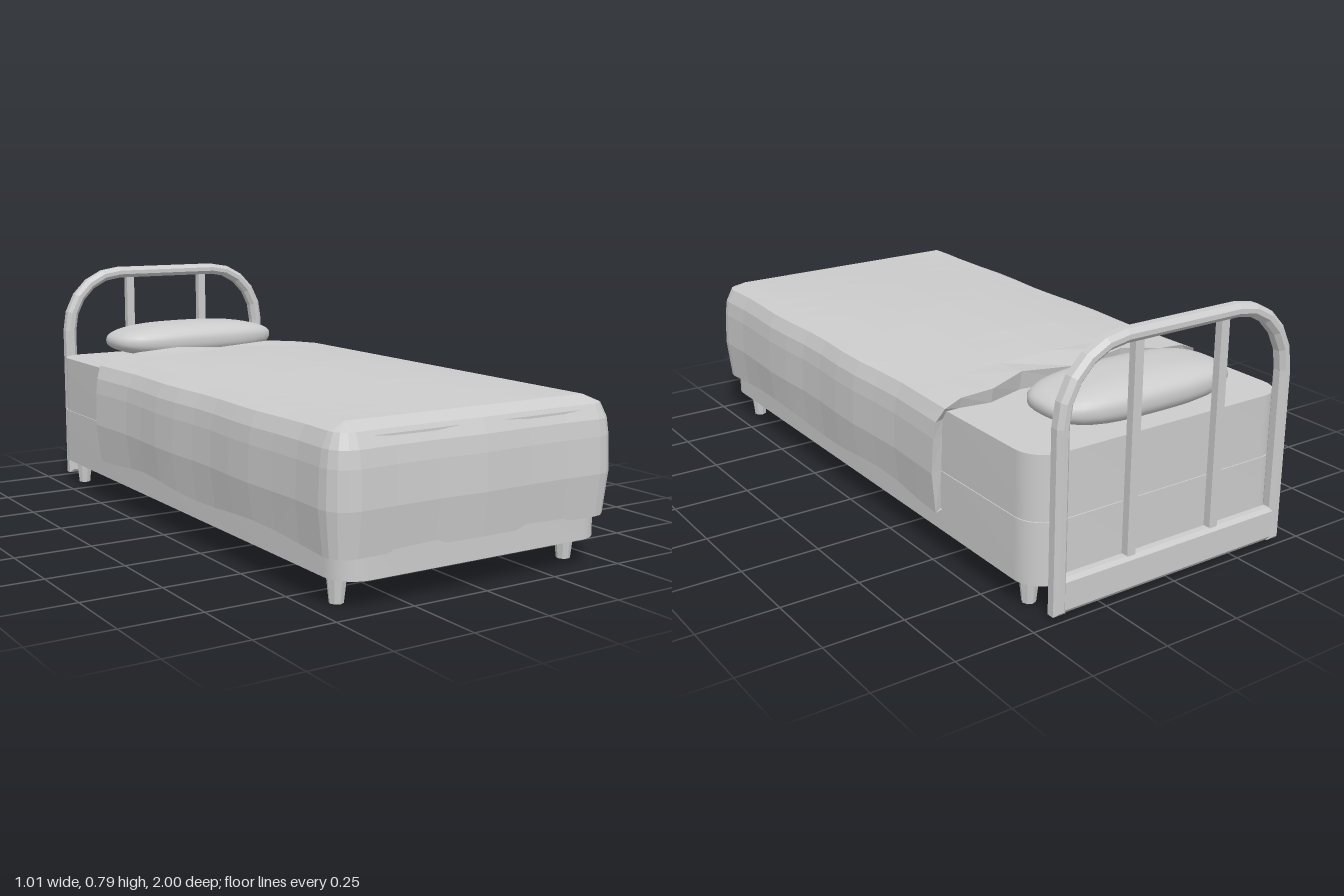
import * as THREE from 'three';
import { toCreasedNormals, mergeVertices } from 'three/addons/utils/BufferGeometryUtils.js';

const grey = new THREE.MeshStandardMaterial({ color: 0xcccccc });
const faceted = new THREE.MeshStandardMaterial({ color: 0xcccccc, flatShading: true, side: THREE.DoubleSide });

function add(group, name, geometry, material = grey, x = 0, y = 0, z = 0) {
  const mesh = new THREE.Mesh(geometry, material);
  mesh.name = name;
  mesh.position.set(x, y, z);
  group.add(mesh);
  return mesh;
}

// Upright slab with rounded vertical corners, standing on y = 0
function slab(hw, hl, r, height) {
  const s = new THREE.Shape();
  s.absarc(hw - r, hl - r, r, 0, Math.PI / 2);
  s.absarc(-hw + r, hl - r, r, Math.PI / 2, Math.PI);
  s.absarc(-hw + r, -hl + r, r, Math.PI, Math.PI * 1.5);
  s.absarc(hw - r, -hl + r, r, Math.PI * 1.5, Math.PI * 2);
  const g = new THREE.ExtrudeGeometry(s, { depth: height, bevelEnabled: false, curveSegments: 5 });
  return toCreasedNormals(g.rotateX(-Math.PI / 2), 0.6);
}

// Half arch outline, from the foot of the post to the middle of the top
function archHalf(x, top) {
  const pts = [new THREE.Vector2(x, 0.027), new THREE.Vector2(x, 0.52)];
  for (let i = 0; i <= 5; i++) {
    const a = (i / 5) * Math.PI / 2;
    pts.push(new THREE.Vector2(0.2 + (x - 0.2) * Math.cos(a), 0.56 + (top - 0.56) * Math.sin(a)));
  }
  return pts;
}

// Chamfered bent frame of the headboard
function archFrame() {
  const mirror = p => new THREE.Vector2(-p.x, p.y);
  const outer = archHalf(0.413, 0.78), inner = archHalf(0.397, 0.766);
  const loop = [...outer, ...outer.map(mirror).reverse(), ...inner.map(mirror), ...inner.reverse()];
  const g = new THREE.ExtrudeGeometry(new THREE.Shape(loop), {
    depth: 0.024, bevelEnabled: true, bevelThickness: 0.013, bevelSize: 0.013, bevelSegments: 1,
  });
  return g.translate(0, 0, -0.012);
}

// Draped cover: cross-sections running from the back edge round to the front drop
function blanketGeometry() {
  const W = 0.42, F = 0.91, B = -0.52;
  const levels = [[0.044, 0.155], [0.066, 0.15], [0.081, 0.28], [0.077, 0.39], [0.07, 0.44], [0.05, 0.483], [0, 0.505]];
  const columns = [0.76, 0.45, 0, -0.45, -0.76];
  const backZ = [-0.03, 0.01, -0.01, 0.01, -0.03], backY = [0.012, 0.026, 0.012, 0.026, 0.012];

  // stations: core point and outward direction
  const stations = [];
  for (let i = 0; i <= 12; i++) stations.push([W, B + (F - B) * i / 12, 0]);
  for (let i = 1; i <= 4; i++) stations.push([W, F, i * Math.PI / 8]);
  for (const x of [0.3, 0.16, 0]) stations.push([x, F, Math.PI / 2]);

  const rows = stations.map(([cx, cz, a], i) => {
    const back = i === 0 ? 1 : 0;
    const side = sign => levels.map(([r, y], k) => {
      const wave = k > 0 && k < 6 ? 0.005 * Math.cos(cz * 12) * Math.cos(a) + 0.004 * Math.cos(cx * 14) * Math.sin(a) : 0;
      const hem = k < 2 ? 0.01 * (1 - Math.cos((F - cz) * 9)) * (cz < F ? 1 : 0) * (1 - back) : 0;
      const lean = back * (k < 5 ? 0.02 - 0.004 * k : -0.015);
      return [sign * (cx + (r + wave) * Math.cos(a)), y + hem, cz + (r + wave) * Math.sin(a) + lean];
    });
    const top = columns.map((c, k) => {
      const rise = 0.03 * Math.sin(Math.min(1, (F - cz) / 1.5) * Math.PI * 0.8) * (1 - c * c);
      return [c * cx, 0.505 + (back ? backY[k] : rise), cz + back * backZ[k]];
    });
    return [...side(1), ...top, ...side(-1).reverse()];
  });

  // close the gap between the back edge and the mattress
  const clamp = THREE.MathUtils.clamp;
  rows.unshift(rows[0].map(([x, y, z]) => [clamp(x, -0.464, 0.464), Math.min(y, 0.469), z + 0.012]));

  const n = rows[0].length, index = [];
  for (let i = 0; i < rows.length - 1; i++) {
    for (let j = 0; j < n - 1; j++) {
      const a = i * n + j, b = a + n;
      index.push(a, a + 1, b, a + 1, b + 1, b);
    }
  }
  const g = new THREE.BufferGeometry();
  g.setAttribute('position', new THREE.Float32BufferAttribute(rows.flat(2), 3));
  g.setIndex(index);
  g.computeVertexNormals();
  return g;
}

// Soft cushion: a sphere pushed towards a rounded box
function pillowGeometry() {
  let g = new THREE.SphereGeometry(1, 40, 24);
  g.deleteAttribute('uv');
  g.deleteAttribute('normal');
  g = mergeVertices(g, 1e-4);
  const p = g.attributes.position, v = new THREE.Vector3();
  for (let i = 0; i < p.count; i++) {
    v.fromBufferAttribute(p, i);
    const flat = Math.pow(Math.abs(v.x) ** 4 + Math.abs(v.z) ** 4, 0.25);
    v.divideScalar(Math.pow(flat ** 2.6 + Math.abs(v.y) ** 2.6, 1 / 2.6));
    const bulge = 1 - 0.1 * v.x * v.x;
    p.setXYZ(i, v.x * 0.325 * (1 - 0.05 * v.z * v.z), v.y * 0.063 * bulge, v.z * 0.147 * bulge);
  }
  g.computeVertexNormals();
  return g;
}

export function createModel() {
  const bed = new THREE.Group();
  bed.name = 'bed';

  // Base and mattress
  add(bed, 'bedBase', slab(0.466, 0.962, 0.09, 0.19), grey, 0, 0.085, 0.013);
  add(bed, 'mattress', slab(0.463, 0.956, 0.09, 0.195), grey, 0, 0.275, 0.011);

  // Tapered feet
  for (const x of [-0.41, 0.41]) {
    for (const z of [-0.855, 0.863]) {
      add(bed, 'foot', new THREE.CylinderGeometry(0.031, 0.021, 0.09, 8), faceted, x, 0.045, z);
    }
  }

  // Bedding
  add(bed, 'blanket', blanketGeometry(), faceted);
  add(bed, 'pillow', pillowGeometry(), grey, 0, 0.531, -0.775);

  // Headboard: bent frame, bars and bottom panel
  const headboard = new THREE.Group();
  headboard.name = 'headboard';
  headboard.position.z = -0.975;
  add(headboard, 'headboardFrame', archFrame(), faceted);
  for (const x of [-0.155, 0.155]) {
    add(headboard, 'headboardBar', new THREE.BoxGeometry(0.03, 0.66, 0.024), grey, x, 0.435, 0);
  }
  const section = new THREE.Shape([[-0.01, 0.016], [0.01, 0.016], [0.02, 0.029], [0.02, 0.112],
    [0.01, 0.124], [-0.01, 0.124], [-0.02, 0.112], [-0.02, 0.029]].map(p => new THREE.Vector2(...p)));
  const panel = new THREE.ExtrudeGeometry(section, { depth: 0.79, bevelEnabled: false });
  panel.translate(0, 0, -0.395).rotateY(Math.PI / 2);
  add(headboard, 'headboardPanel', panel, faceted);
  bed.add(headboard);

  return bed;
}
